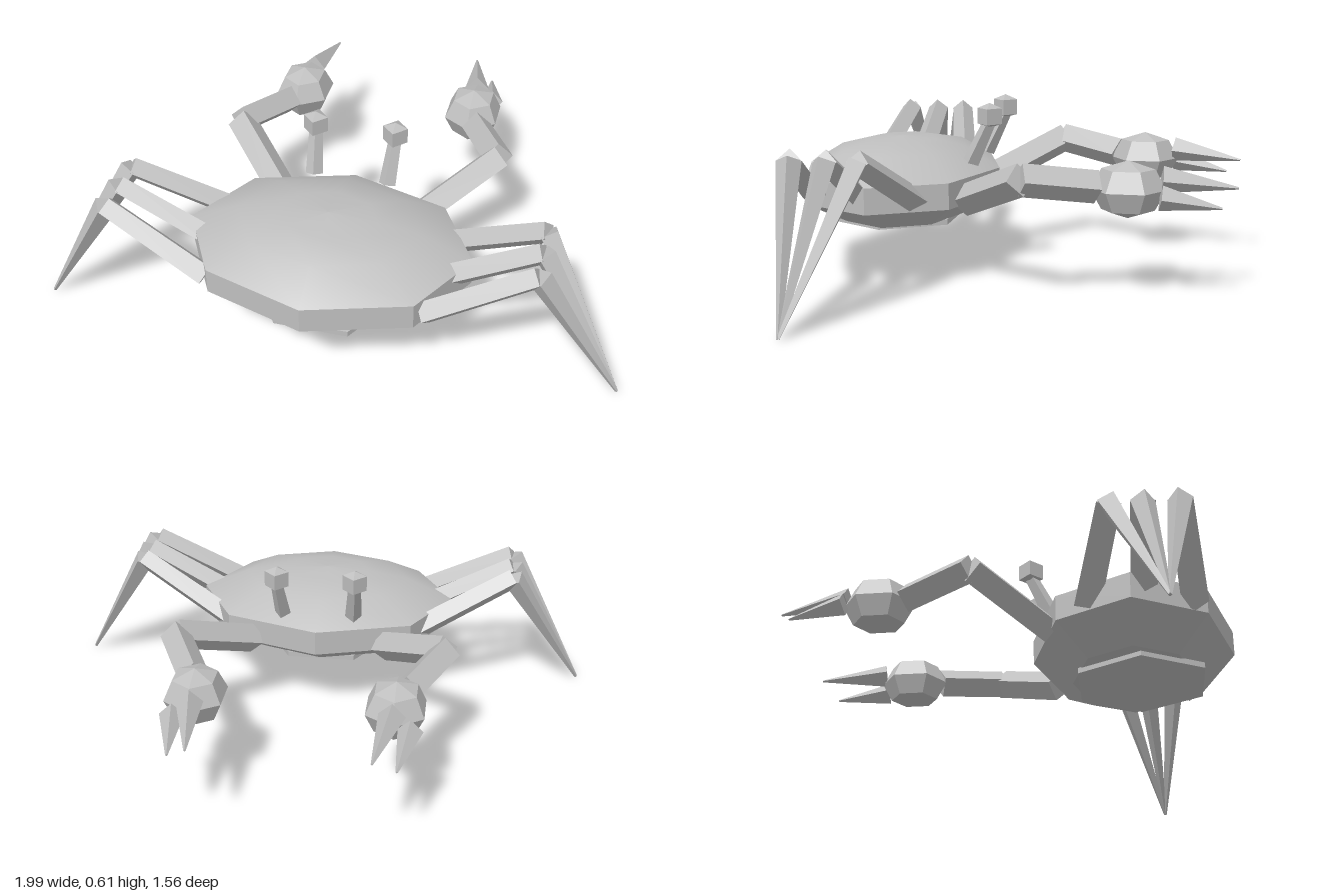
import * as THREE from 'three';

export function createModel() {
  const model = new THREE.Group();
  model.name = 'crab';
  const grey = new THREE.MeshStandardMaterial({ color: 0xbfbfbf });
  grey.name = 'shell grey';

  const add = (name, geometry, smooth = false) => {
    const g = smooth ? geometry : geometry.toNonIndexed();
    if (!smooth) g.computeVertexNormals();
    const mesh = new THREE.Mesh(g, grey);
    mesh.name = name;
    model.add(mesh);
    return mesh;
  };

  const lathe = (points, sides) =>
    new THREE.LatheGeometry(points.map(([r, y]) => new THREE.Vector2(r, y)), sides);

  // Tapered four-sided limb from a to b, with one edge facing up
  const limb = (name, a, b, ra, rb) => {
    const from = new THREE.Vector3(...a), to = new THREE.Vector3(...b);
    const dir = to.clone().sub(from);
    const geometry = new THREE.CylinderGeometry(rb, ra, dir.length(), 4);
    dir.normalize();
    const side = dir.clone().cross(new THREE.Vector3(0, 1, 0)).normalize();
    const up = side.clone().cross(dir);
    const matrix = new THREE.Matrix4().makeBasis(side, dir, up);
    matrix.setPosition(from.add(to).multiplyScalar(0.5));
    add(name, geometry.applyMatrix4(matrix));
  };

  // Octagonal shell: smooth domed back, faceted rim and underside
  const place = (geometry) => geometry.scale(0.48, 1, 0.355).translate(0, 0, 0.42);
  add('shellBack', place(lathe([[1, 0.36], [0.65, 0.435], [0.34, 0.46], [0, 0.47]], 8)), true);
  add('shellRim', place(lathe([[0, 0.185], [0.61, 0.187], [1, 0.27], [1, 0.36]], 8)));

  // Hexagonal belly plate
  add('bellyPlate', lathe([[0, 0.12], [0.25, 0.17], [0.25, 0.19], [0, 0.19]], 6)
    .rotateY(Math.PI / 6).translate(0, 0, 0.445));

  for (const s of [1, -1]) {
    // Walking legs, meeting at their tips: [hip z, knee z]
    for (const [hipZ, kneeZ] of [[0.275, 0.365], [0.465, 0.47], [0.63, 0.585]]) {
      const knee = [s * 0.705, 0.485, kneeZ];
      limb('upperLeg', [s * 0.36, 0.30, hipZ], knee, 0.045, 0.04);
      limb('lowerLeg', knee, [s * 0.99, 0.004, 0.525], 0.04, 0.006);
    }

    // Claw arm
    const elbow = [s * 0.475, 0.405, -0.1];
    limb('upperArm', [s * 0.24, 0.285, 0.14], elbow, 0.055, 0.055);
    limb('forearm', elbow, [s * 0.36, 0.37, -0.33], 0.055, 0.055);

    // Claw palm and pincers
    add('clawPalm', new THREE.SphereGeometry(1, 6, 4).rotateY(Math.PI / 6)
      .scale(0.11, 0.096, 0.125).translate(s * 0.33, 0.36, -0.43));
    limb('innerPincer', [s * 0.325, 0.395, -0.54], [s * 0.285, 0.367, -0.785], 0.045, 0.004);
    limb('outerPincer', [s * 0.385, 0.345, -0.54], [s * 0.357, 0.312, -0.735], 0.042, 0.004);

    // Eye on its stalk
    limb('eyeStalk', [s * 0.13, 0.40, 0.14], [s * 0.14, 0.545, 0.07], 0.03, 0.023);
    add('eye', lathe([[0, 0.525], [0.043, 0.537], [0.043, 0.592], [0, 0.61]], 4)
      .translate(s * 0.14, 0, 0.07));
  }

  return model;
}
